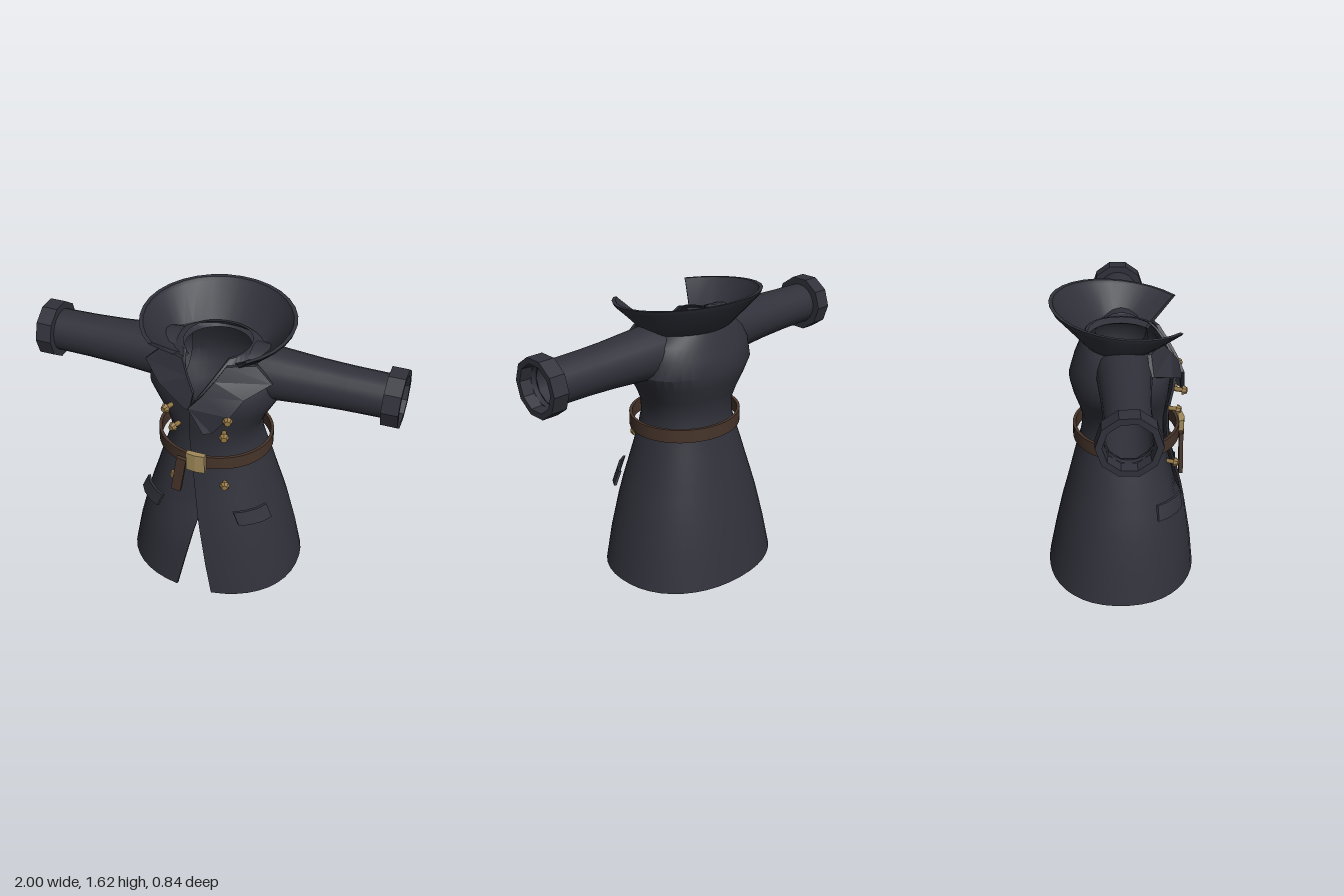
import * as THREE from 'three';
import { toCreasedNormals } from 'three/addons/utils/BufferGeometryUtils.js';

const material = (name, color) =>
  new THREE.MeshStandardMaterial({ name, color, side: THREE.DoubleSide });

// Joins closed loops of equal length; both ends are capped as a thin band.
function loft(rings, crease = 0.6) {
  const n = rings[0].length, index = [];
  for (let r = 0; r < rings.length - 1; r++) {
    for (let i = 0; i < n; i++) {
      const a = r * n + i, b = r * n + (i + 1) % n;
      index.push(a, b, b + n, a, b + n, a + n);
    }
  }
  for (const [start, flip] of [[0, true], [(rings.length - 1) * n, false]]) {
    for (let i = 0; i < n / 2 - 1; i++) {
      const a = start + i, b = a + 1, c = start + n - 2 - i, d = c + 1;
      if (flip) index.push(a, c, b, a, d, c);
      else index.push(a, b, c, a, c, d);
    }
  }
  const geometry = new THREE.BufferGeometry();
  geometry.setAttribute('position', new THREE.Float32BufferAttribute(rings.flat(2), 3));
  geometry.setIndex(index);
  return toCreasedNormals(geometry, crease);
}

// Point on an oval with separate front and back depths.
const power = (v, e) => Math.sign(v) * Math.abs(v) ** e;
function oval(angle, y, rx, front, back, inset = 0, e = 1) {
  const c = Math.cos(angle);
  return [(rx - inset) * power(Math.sin(angle), e), y,
    ((c > 0 ? front : back) - inset) * power(c, e)];
}

// Linear lookup in a list of [y, value] pairs.
function lookup(table, y) {
  for (let i = 1; i < table.length; i++) {
    const [y0, v0] = table[i - 1], [y1, v1] = table[i];
    if (y <= y1) return v0 + (v1 - v0) * (y - y0) / (y1 - y0);
  }
  return table[table.length - 1][1];
}

export function createModel() {
  const coat = material('charcoal cloth', 0x30313a);
  const leather = material('brown leather', 0x46342a);
  const brass = material('pale brass', 0xa08a5a);
  const gold = material('dark gold', 0x927643);
  const model = new THREE.Group();
  model.name = 'coat';
  const add = (name, geometry, mat, parent = model) => {
    const mesh = new THREE.Mesh(geometry, mat);
    mesh.name = name;
    parent.add(mesh);
    return mesh;
  };

  // Body: y, half width, front depth, back depth
  const profile = [
    [0, 0.5, 0.428, 0.422], [0.2, 0.46, 0.405, 0.382], [0.4, 0.41, 0.37, 0.337],
    [0.5, 0.38, 0.35, 0.31], [0.6, 0.347, 0.325, 0.285], [0.72, 0.31, 0.295, 0.255],
    [0.83, 0.272, 0.276, 0.225], [0.9, 0.25, 0.27, 0.212], [0.98, 0.252, 0.27, 0.21],
    [1.05, 0.28, 0.28, 0.23], [1.13, 0.325, 0.295, 0.258], [1.21, 0.37, 0.305, 0.277],
    [1.3, 0.365, 0.29, 0.25], [1.37, 0.33, 0.25, 0.222], [1.42, 0.27, 0.215, 0.2],
    [1.45, 0.195, 0.2, 0.185],
  ];
  // Front edges: the left panel overlaps the right one above the slit.
  const leftEdge = [[0, 0.11], [0.48, 0.01], [0.83, -0.055], [1.0, -0.07], [1.21, -0.045], [1.45, 0.12]];
  const rightEdge = [[0, -0.1], [0.48, 0.005], [0.6, 0.04], [1.05, 0.03], [1.21, -0.03], [1.45, -0.13]];
  const E = 0.92, STEPS = 40;
  const edgeAngle = (x, rx) => Math.asin(power(x / rx, 1 / E));
  add('coatBody', loft(profile.map(([y, rx, front, back]) => {
    const start = edgeAngle(lookup(leftEdge, y), rx);
    const end = Math.PI * 2 + edgeAngle(lookup(rightEdge, y), rx);
    const tuck = y > 0.45 && y < 1.25 ? 0.03 : 0;
    const side = (thickness) => Array.from({ length: STEPS + 1 }, (_, i) => {
      const t = i / STEPS;
      const inset = tuck * THREE.MathUtils.smoothstep(t, 0.86, 0.97) + thickness;
      return oval(start + (end - start) * t, y, rx, front, back, inset, E);
    });
    return [...side(0), ...side(0.015).reverse()];
  })), coat);

  // Flared collar, open at the front and rising towards the back
  const collarLevels = [
    [0.195, 0.2, 0.19, 1.405, 0, 0.012], [0.285, 0.245, 0.205, 1.425, 0, 0.012],
    [0.405, 0.385, 0.36, 1.56, 0.1, 0.004], [0.412, 0.4, 0.374, 1.58, 0.117, 0],
  ];
  add('collar', loft(collarLevels.map(([rx, front, back, y, tilt, lift]) => {
    const side = (inset, dy) => Array.from({ length: 25 }, (_, i) => {
      const p = oval(THREE.MathUtils.degToRad(39 + 282 * i / 24), y, rx, front, back, inset);
      p[1] += dy - tilt * p[2];
      return p;
    });
    return [...side(0, 0), ...side(0.02, lift).reverse()];
  }), 0.5), coat);

  // Lapels: rows of inner and outer edge points
  const upper = [
    [[0.12, 1.43, 0.215], [0.26, 1.43, 0.15]],
    [[0.075, 1.36, 0.265], [0.35, 1.345, 0.16]],
    [[0.025, 1.29, 0.31], [0.235, 1.285, 0.265]],
  ];
  const lapel = (rows) => loft(rows.map(([a, b]) =>
    [a, b, [b[0], b[1], b[2] - 0.02], [a[0], a[1], a[2] - 0.02]]), 0.3);
  add('leftLapel', lapel([...upper,
    [[-0.04, 1.22, 0.345], [0.18, 1.2, 0.32]],
    [[0.045, 1.085, 0.355], [0.085, 1.085, 0.335]]]), coat);
  const mirrored = upper.map((row) => row.map(([x, y, z]) => [-x, y, z]));
  add('rightLapel', lapel([...mirrored,
    [[-0.04, 1.2, 0.33], [-0.07, 1.2, 0.325]]]), coat);

  // Sleeves and cuffs
  const points = (list) => list.map(([r, y]) => new THREE.Vector2(r, y));
  const sleeveProfile = points([[0.15, 0.2], [0.143, 0.3], [0.136, 0.4], [0.125, 0.55],
    [0.118, 0.72], [0.115, 0.94]]);
  const cuffProfile = points([[0.112, 0.912], [0.157, 0.912], [0.157, 1], [0.125, 1], [0.12, 0.94]]);
  for (const s of [1, -1]) {
    const arm = new THREE.Group();
    arm.name = s > 0 ? 'leftArm' : 'rightArm';
    arm.position.set(0, 1.318, 0.012);
    arm.rotation.z = -s * Math.PI / 2;
    model.add(arm);
    add('sleeve', new THREE.LatheGeometry(sleeveProfile, 20), coat, arm);
    add('cuff', toCreasedNormals(new THREE.LatheGeometry(cuffProfile, 10), 0.3), coat, arm);
  }

  // Pocket flaps standing slightly off the skirt
  const flapRow = [[0.21, 0.33], [0.265, 0.3], [0.32, 0.25], [0.355, 0.195]];
  for (const s of [1, -1]) {
    const ring = (y, dx, dz) => {
      const edge = (d) => flapRow.map(([x, z]) => [s * (x + dx - d), y, z + dz - d]);
      return [...edge(0), ...edge(0.01).reverse()];
    };
    add(s > 0 ? 'leftPocketFlap' : 'rightPocketFlap',
      loft([ring(0.57, 0, 0), ring(0.49, 0.035, 0.005)]), coat);
  }

  // Belt, buckle and hanging strap
  const beltShape = new THREE.Shape().absellipse(0, -0.032, 0.32, 0.295, 0, Math.PI * 2);
  beltShape.holes.push(new THREE.Path().absellipse(0, -0.032, 0.303, 0.278, 0, Math.PI * 2));
  const beltGeometry = new THREE.ExtrudeGeometry(beltShape,
    { depth: 0.075, bevelEnabled: false, curveSegments: 28 });
  beltGeometry.rotateX(-Math.PI / 2);
  add('belt', toCreasedNormals(beltGeometry, 0.5), leather).position.y = 0.835;

  const buckleShape = new THREE.Shape(points([[-0.055, -0.322], [0.05, -0.322], [0.05, -0.35],
    [-0.002, -0.357], [-0.055, -0.35]]));
  const buckleGeometry = new THREE.ExtrudeGeometry(buckleShape, { depth: 0.11, bevelEnabled: false });
  buckleGeometry.rotateX(-Math.PI / 2);
  add('buckle', buckleGeometry, brass).position.y = 0.82;

  const strap = add('beltStrap', new THREE.BoxGeometry(0.055, 0.23, 0.022), leather);
  strap.position.set(-0.105, 0.76, 0.332);
  strap.rotation.z = -0.17;

  // Buttons: faceted knob on a short shank
  for (const [x, y, z] of [[0.17, 1.18, 0.325], [0.142, 1.05, 0.3], [0.145, 0.72, 0.295]]) {
    for (const s of [1, -1]) {
      const button = new THREE.Group();
      button.name = 'button';
      button.position.set(s * x, y, z);
      button.rotation.y = s * 0.35;
      model.add(button);
      const shank = new THREE.CylinderGeometry(0.014, 0.014, 0.05, 6).rotateX(Math.PI / 2);
      add('buttonShank', shank, gold, button).position.z = -0.02;
      const knob = new THREE.CylinderGeometry(0.016, 0.028, 0.022, 8).rotateX(Math.PI / 2);
      add('buttonKnob', toCreasedNormals(knob, 0.3), gold, button).position.z = 0.012;
    }
  }
  return model;
}
